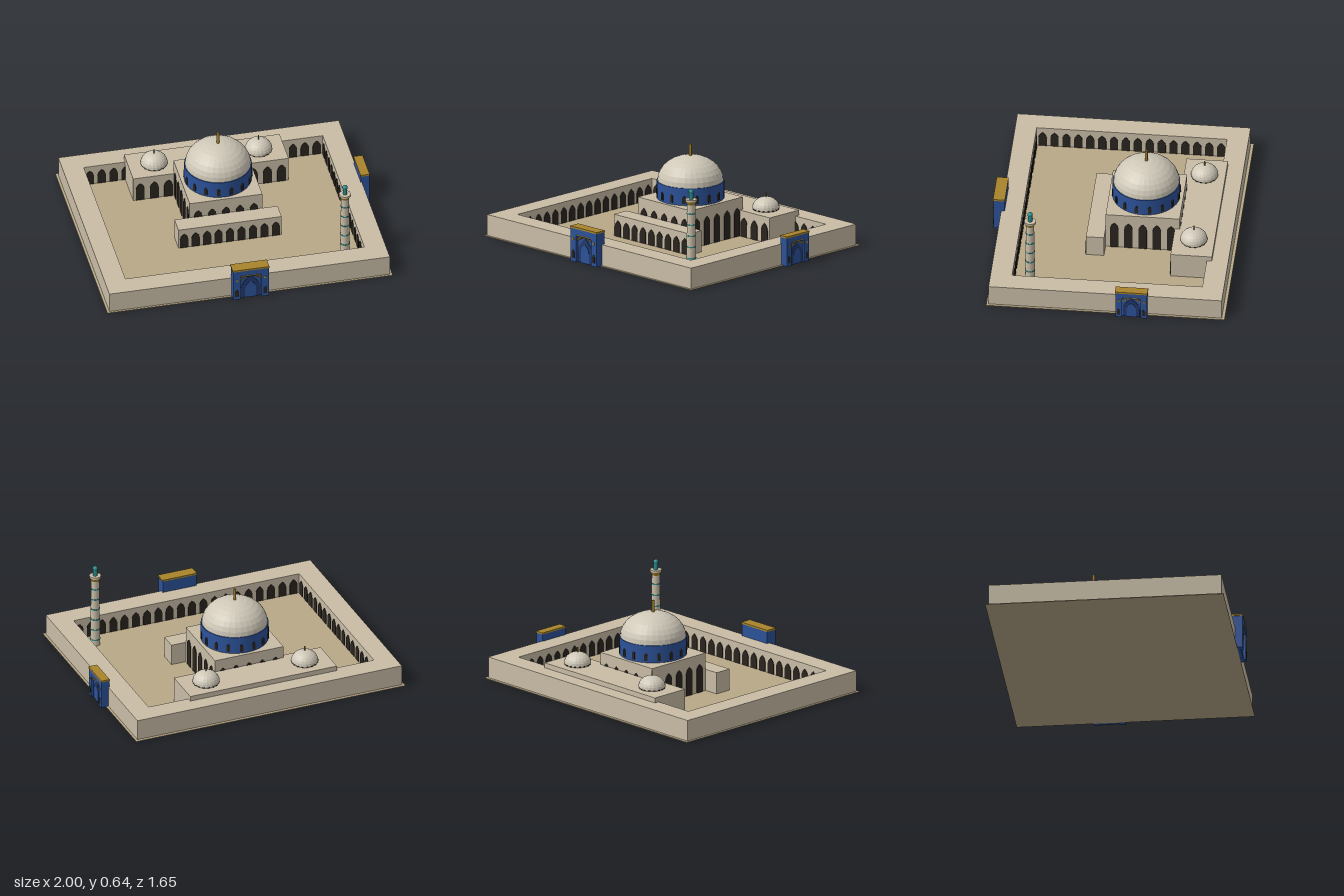
import * as THREE from 'three';

const mat = (color, extra = {}) => new THREE.MeshStandardMaterial({ color, ...extra });
const M = {
  stone: mat(0xc9bda6), ground: mat(0xb8a888), dome: mat(0xcfc8b8, { flatShading: true }),
  blue: mat(0x2c5299), navy: mat(0x22386c), gold: mat(0xa8842c), teal: mat(0x2a8c8c), dark: mat(0x2a241e),
};
const CX = -0.018, CZ = -0.022; // centre of the walled court

function add(parent, name, geo, material, x = 0, y = 0, z = 0) {
  const m = new THREE.Mesh(geo, material);
  m.name = name;
  m.position.set(x, y, z);
  parent.add(m);
  return m;
}

function group(parent, name, x = 0, y = 0, z = 0, rotY = 0) {
  const g = new THREE.Group();
  g.name = name;
  g.position.set(x, y, z);
  g.rotation.y = rotY;
  parent.add(g);
  return g;
}

// box standing on y
const box = (parent, name, material, w, h, d, x, y, z) =>
  add(parent, name, new THREE.BoxGeometry(w, h, d), material, x, y + h / 2, z);

// pointed arch panel standing on y = 0, facing +z
function archGeo(w, h, depth = 0.004) {
  const s = new THREE.Shape(), a = w / 2, spring = h - w * 0.75;
  s.moveTo(-a, 0);
  s.lineTo(a, 0);
  s.lineTo(a, spring);
  s.quadraticCurveTo(a * 0.95, spring + w * 0.42, 0, h);
  s.quadraticCurveTo(-a * 0.95, spring + w * 0.42, -a, spring);
  s.closePath();
  return new THREE.ExtrudeGeometry(s, { depth, bevelEnabled: false, curveSegments: 4 });
}

// evenly spaced dark arches along a face
function archRow(parent, name, n, length, w, h, x, z, rotY = 0) {
  const g = group(parent, name, x, 0.004, z, rotY), geo = archGeo(w, h);
  for (let i = 0; i < n; i++) add(g, 'arch', geo, M.dark, ((i + 0.5) / n - 0.5) * length, 0, 0);
}

// ring of small windows around a drum
function windowRing(parent, n, r, y, w, h) {
  const geo = archGeo(w, h, 0.006);
  for (let i = 0; i < n; i++) {
    const a = ((i + 0.5) / n) * Math.PI * 2;
    add(parent, 'drumWindow', geo, M.dark, Math.sin(a) * r, y, Math.cos(a) * r).rotation.y = a;
  }
}

// faceted half dome with finial
function dome(parent, r, h, y, seg, rows, spikeR, spikeH) {
  const geo = new THREE.SphereGeometry(1, seg, rows, 0, Math.PI * 2, 0, Math.PI / 2);
  add(parent, 'dome', geo, M.dome, 0, y, 0).scale.set(r, h, r);
  add(parent, 'finial', new THREE.CylinderGeometry(spikeR, spikeR, spikeH + 0.01, 8), M.gold, 0, y + h + spikeH / 2 - 0.005, 0);
}

// portal with stepped recess, facing +z
function gate(parent, name, w, h, d, x, z, rotY) {
  const g = group(parent, name, x, 0.002, z, rotY);
  const pw = w * 0.2, top = h - 0.012, lint = h * 0.2, inW = w - 2 * pw, f = d / 2;
  box(g, 'gateBody', M.blue, w * 0.97, top, d * 0.7, 0, 0, -d * 0.13);
  box(g, 'lintel', M.blue, w * 0.97, lint, d * 0.27, 0, top - lint, d * 0.34);
  box(g, 'cornice', M.gold, w, 0.012, d, 0, top, 0);
  add(g, 'doorArch', archGeo(inW * 0.86, top - lint - 0.01), M.navy, 0, 0, d * 0.22);
  add(g, 'door', archGeo(inW * 0.5, (top - lint) * 0.72), M.blue, 0, 0, d * 0.22 + 0.003);
  for (const s of [-1, 1]) {
    const px = s * (w * 0.485 - pw / 2);
    box(g, 'pier', M.blue, pw, top, d * 0.27, px, 0, d * 0.34);
    add(g, 'pierNiche', archGeo(pw * 0.5, h * 0.24), M.dark, px, h * 0.1, f - 0.004);
    box(g, 'medallion', M.gold, pw * 0.28, pw * 0.28, 0.004, px, h * 0.62, f - 0.001);
    // gold stalactite steps climbing to the head of the recess
    for (let i = 0; i < 3; i++)
      box(g, 'stalactite', M.gold, inW * 0.08, h * 0.05, d * 0.12, s * inW * (0.44 - i * 0.14),
        top - lint - h * (0.14 - i * 0.045), d * 0.27);
  }
  box(g, 'lintelBand', M.gold, inW * 0.9, 0.005, 0.003, 0, top - lint + 0.004, f - 0.001);
}

function minaret(parent, x, z) {
  const g = group(parent, 'minaret', x, 0.004, z);
  const r = (y) => 0.034 - 0.014 * y;
  add(g, 'shaft', new THREE.CylinderGeometry(r(0.5), r(0), 0.5, 16), M.stone, 0, 0.25, 0);
  for (let i = 0; i < 6; i++) {
    const y = 0.045 + i * 0.077;
    add(g, 'tileBand', new THREE.CylinderGeometry(r(y) + 0.002, r(y) + 0.002, 0.008, 16), M.teal, 0, y, 0);
  }
  add(g, 'balconyCorbel', new THREE.CylinderGeometry(0.038, 0.027, 0.025, 16), M.gold, 0, 0.503, 0);
  add(g, 'balconyDeck', new THREE.CylinderGeometry(0.04, 0.04, 0.014, 16), M.stone, 0, 0.522, 0);
  add(g, 'lantern', new THREE.CylinderGeometry(0.015, 0.015, 0.05, 12), M.teal, 0, 0.554, 0);
  add(g, 'lanternCap', new THREE.SphereGeometry(0.018, 12, 8), M.teal, 0, 0.582, 0);
}

// rectangular arcade wall with the court cut out
function enclosure(parent) {
  const rect = (C, w, d) => {
    const s = new C();
    s.moveTo(-w / 2, -d / 2);
    s.lineTo(w / 2, -d / 2);
    s.lineTo(w / 2, d / 2);
    s.lineTo(-w / 2, d / 2);
    s.closePath();
    return s;
  };
  const W = 1.645, D = 1.285;
  const s = rect(THREE.Shape, 1.93, 1.575);
  s.holes.push(rect(THREE.Path, W, D));
  const geo = new THREE.ExtrudeGeometry(s, { depth: 0.146, bevelEnabled: false });
  geo.rotateX(-Math.PI / 2);
  add(parent, 'enclosureWall', geo, M.stone, CX, 0.004, CZ);
  archRow(parent, 'backArcade', 20, W, 0.056, 0.11, CX, CZ - D / 2);
  archRow(parent, 'frontArcade', 20, W, 0.056, 0.11, CX, CZ + D / 2, Math.PI);
  archRow(parent, 'rightArcade', 16, D, 0.056, 0.11, CX - W / 2, CZ, Math.PI / 2);
  archRow(parent, 'leftArcade', 16, D, 0.056, 0.11, CX + W / 2, CZ, -Math.PI / 2);
}

export function createModel() {
  const root = new THREE.Group();
  root.name = 'domedCourtyardComplex';

  box(root, 'groundSlab', M.ground, 1.964, 0.005, 1.61, CX, 0, -0.025);
  enclosure(root);

  // central domed hall
  const hall = group(root, 'domedHall', -0.02, 0, -0.203);
  box(hall, 'hallBlock', M.stone, 0.5, 0.266, 0.5, 0, 0.004, 0);
  for (let i = 0; i < 4; i++) {
    const a = (i * Math.PI) / 2;
    archRow(hall, 'hallArches', 5, 0.48, 0.056, 0.2, Math.sin(a) * 0.25, Math.cos(a) * 0.25, a);
  }
  add(hall, 'drum', new THREE.CylinderGeometry(0.228, 0.228, 0.12, 32), M.blue, 0, 0.33, 0);
  windowRing(hall, 16, 0.226, 0.283, 0.022, 0.056);
  dome(hall, 0.222, 0.17, 0.39, 32, 8, 0.01, 0.08);

  // rear wing with two small domes
  box(root, 'rearWing', M.stone, 1.07, 0.181, 0.28, -0.02, 0.004, -0.56);
  archRow(root, 'rearWingArches', 11, 1.07, 0.06, 0.135, -0.02, -0.42);
  for (const s of [-1, 1]) {
    const g = group(root, 'smallDome', -0.02 + s * 0.36, 0, -0.56);
    add(g, 'smallDrum', new THREE.CylinderGeometry(0.085, 0.085, 0.022, 24), M.stone, 0, 0.195, 0);
    windowRing(g, 16, 0.082, 0.186, 0.014, 0.018);
    dome(g, 0.092, 0.076, 0.196, 20, 7, 0.004, 0.033);
  }

  // low front portico
  box(root, 'frontPortico', M.stone, 0.71, 0.15, 0.122, -0.02, 0.004, 0.108);
  archRow(root, 'porticoArches', 9, 0.71, 0.056, 0.112, -0.02, 0.169);

  minaret(root, 0.695, 0.51);
  gate(root, 'frontGate', 0.252, 0.243, 0.08, -0.02, 0.78, 0);
  gate(root, 'sideGate', 0.22, 0.208, 0.062, 0.969, -0.203, Math.PI / 2);
  return root;
}
